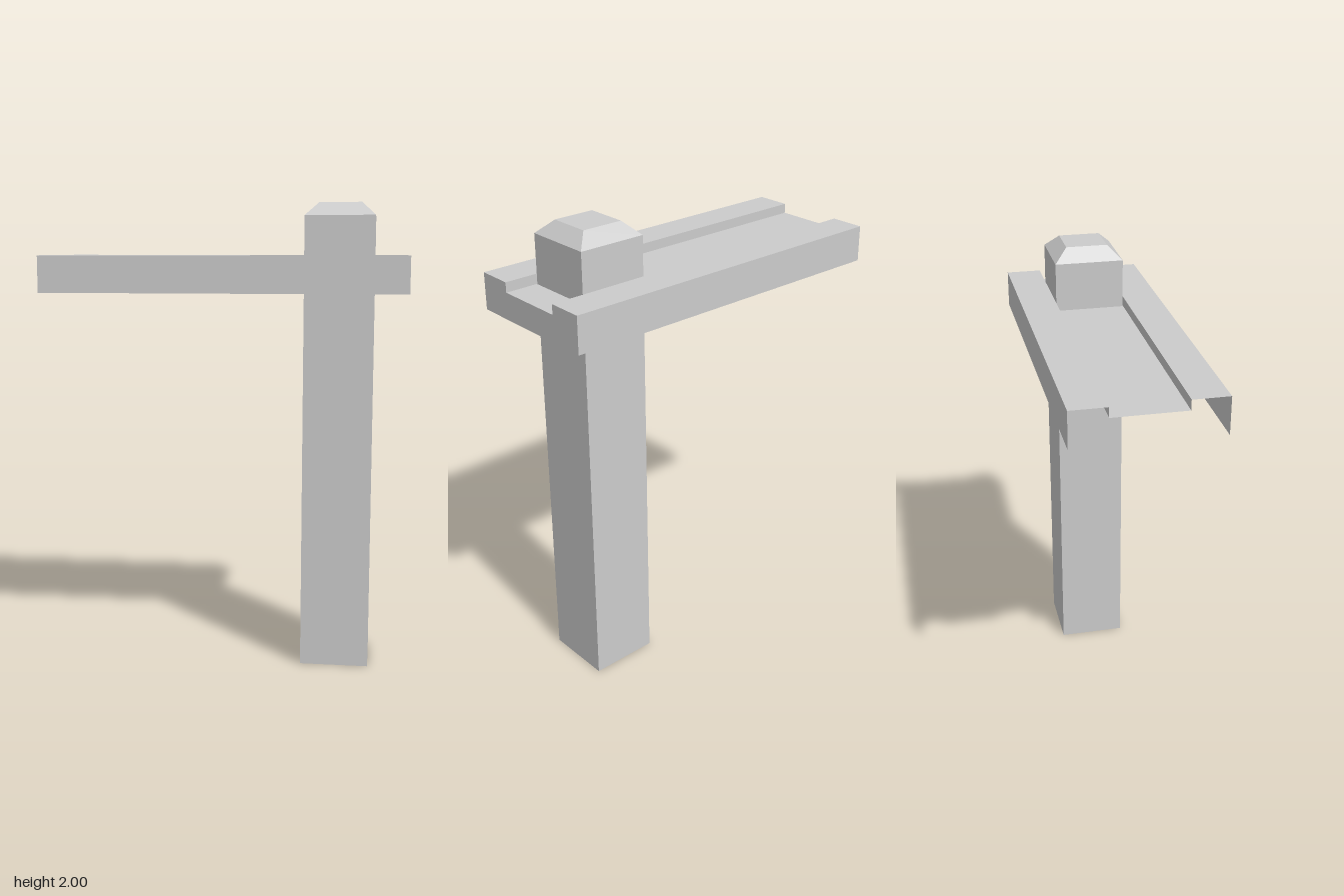
import * as THREE from 'three';

const material = new THREE.MeshStandardMaterial({
  color: 0xcccccc, flatShading: true, side: THREE.DoubleSide,
});

function addPart(parent, name, geometry) {
  geometry.computeVertexNormals();
  const mesh = new THREE.Mesh(geometry, material);
  mesh.name = name;
  parent.add(mesh);
  return mesh;
}

// Beam cross-section as [z, y], from the back lower edge to the front lower edge
const half = [[0.3, 1.625], [0.3, 1.78], [0.15, 1.78], [0.15, 1.738]];
const section = [...half.map(([z, y]) => [-z, y]), ...half.slice().reverse()];
const beamEnd = 0.77;

export function createModel() {
  const model = new THREE.Group();
  model.name = 'postWithBeam';

  // Square post, open at the bottom, with a chamfered top
  const corner = Math.SQRT2;
  const profile = [[0.147, 0], [0.147, 1.945], [0.089, 2], [0, 2]]
    .map(([r, y]) => new THREE.Vector2(r * corner, y));
  const post = addPart(model, 'post', new THREE.LatheGeometry(profile, 4, Math.PI / 4));
  post.position.x = 0.48;

  const beam = new THREE.Group();
  beam.name = 'beam';
  model.add(beam);

  // Channelled sheet, open below and at its far end
  const sheet = new THREE.PlaneGeometry(beamEnd * 2, 1, 1, section.length - 1);
  const pos = sheet.attributes.position;
  for (let i = 0; i < pos.count; i++) {
    const [z, y] = section[Math.floor(i / 2)];
    pos.setXYZ(i, pos.getX(i), y, z);
  }
  addPart(beam, 'beamChannel', sheet);

  // End plate beside the post
  const outline = new THREE.Shape(section.map(([z, y]) => new THREE.Vector2(z, y)));
  const plate = new THREE.ShapeGeometry(outline).rotateY(Math.PI / 2);
  addPart(beam, 'beamEndPlate', plate.translate(beamEnd, 0, 0));

  return model;
}
